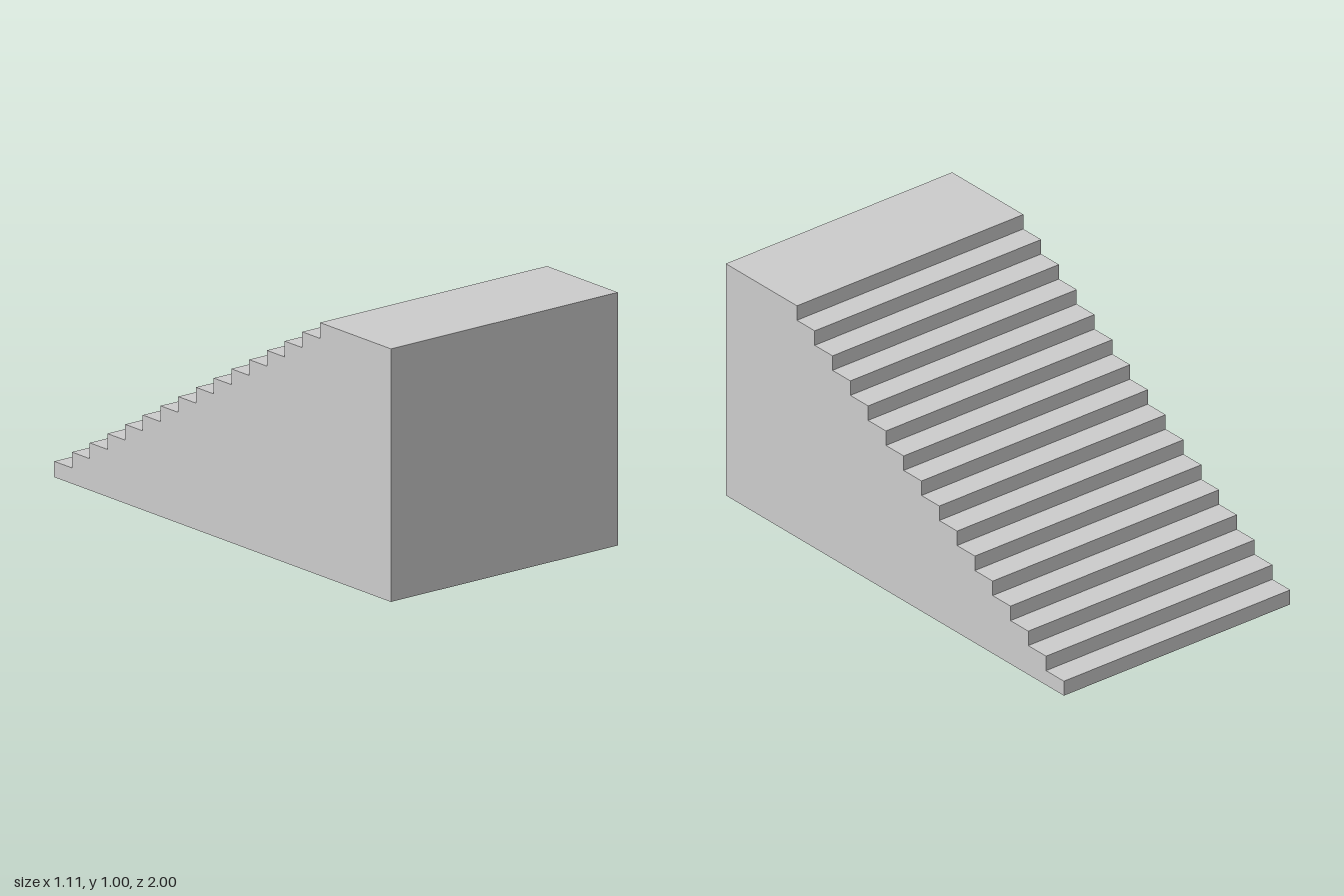
import * as THREE from 'three';

const WIDTH = 1.105;
const HEIGHT = 1;
const RISERS = 16;
const RISE = HEIGHT / RISERS;
const TREAD = 2 / 19; // the top landing is four treads deep

export function createModel() {
  const group = new THREE.Group();
  group.name = 'staircase';

  // Side profile: x is depth (back -1 to front +1), y is up
  const profile = new THREE.Shape();
  profile.moveTo(-1, 0);
  profile.lineTo(1, 0);
  profile.lineTo(1, HEIGHT);
  for (let i = RISERS - 1; i >= 0; i--) {
    const z = -1 + i * TREAD;
    profile.lineTo(z, (i + 1) * RISE);
    if (i > 0) profile.lineTo(z, i * RISE);
  }
  profile.closePath();

  // Solid flight of steps with landing, extruded across the width
  const geometry = new THREE.ExtrudeGeometry(profile, { depth: WIDTH, bevelEnabled: false });
  geometry.translate(0, 0, -WIDTH / 2);
  geometry.rotateY(-Math.PI / 2);

  const material = new THREE.MeshStandardMaterial({ color: 0xcccccc, flatShading: true });
  const steps = new THREE.Mesh(geometry, material);
  steps.name = 'stepsAndLanding';
  group.add(steps);
  return group;
}
